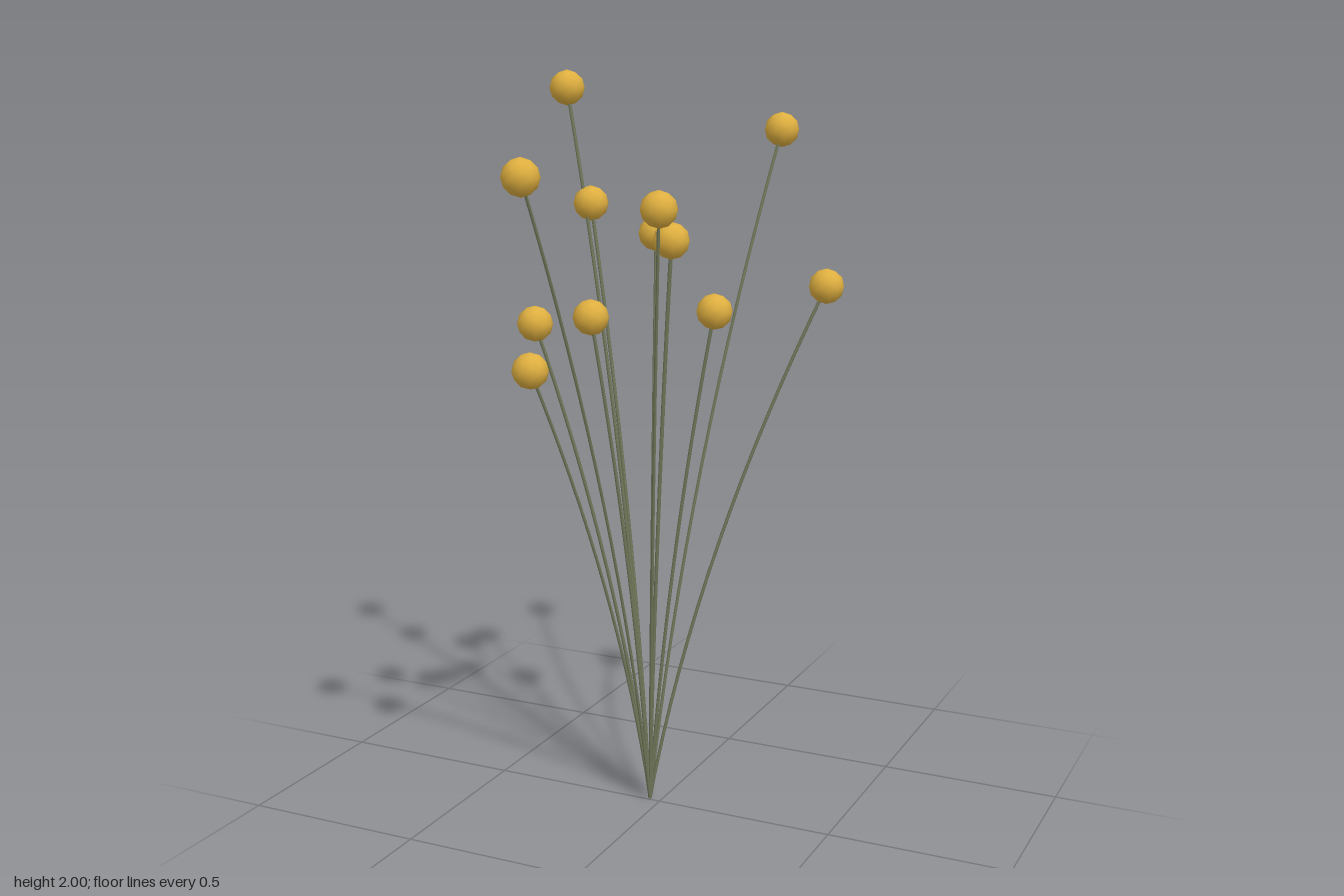
import * as THREE from 'three';

export function createModel() {
  const group = new THREE.Group();
  const gold = new THREE.MeshStandardMaterial({ name: 'mustard yellow', color: 0xe0b040 });
  const green = new THREE.MeshStandardMaterial({ name: 'olive stem green', color: 0x70785a });

  // All stems grow from one point
  const base = new THREE.Vector3(-0.033, 0, -0.008);
  const radius = 0.048;

  // Centre of each ball-shaped flower head
  const heads = [
    [-0.35, 1.952, -0.157], [0.148, 1.836, -0.485], [-0.137, 1.762, 0.482],
    [0.085, 1.67, 0.184], [-0.274, 1.645, -0.145], [0.056, 1.577, 0.048],
    [-0.095, 1.567, -0.181], [-0.095, 1.54, -0.287], [0.349, 1.432, -0.316],
    [0.133, 1.385, -0.056], [-0.154, 1.372, 0.094], [-0.312, 1.347, 0.11],
    [-0.222, 1.259, 0.3],
  ];
  const ball = new THREE.IcosahedronGeometry(radius, 1);

  for (const p of heads) {
    const tip = new THREE.Vector3(...p);
    const flower = new THREE.Group();
    flower.name = 'flower';

    // Stem rises steeply, then leans outward
    const bend = base.clone().lerp(tip, 0.27).setY(tip.y * 0.5);
    const curve = new THREE.QuadraticBezierCurve3(base, bend, tip);
    const stem = new THREE.Mesh(new THREE.TubeGeometry(curve, 16, 0.0046, 6), green);
    stem.name = 'stem';

    // Round head
    const head = new THREE.Mesh(ball, gold);
    head.name = 'flowerHead';
    head.position.copy(tip);

    flower.add(stem, head);
    group.add(flower);
  }
  return group;
}
